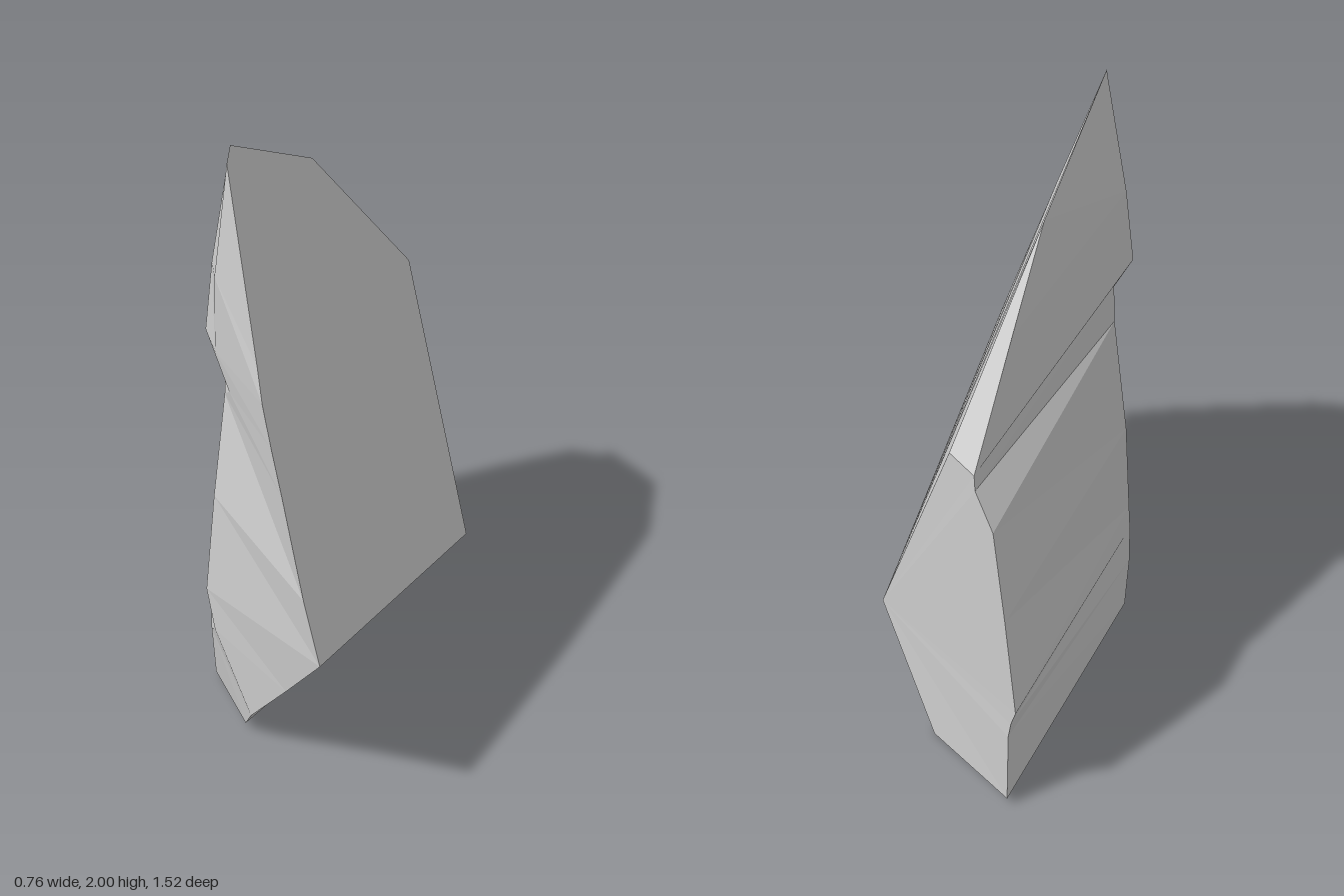
import * as THREE from 'three';

// Each row runs round the chipped side: back edge, left edge, front edge, right front edge
const rows = [
  [[-0.19, 1.75, -0.15], [-0.18, 2, 0.31], [-0.16, 1.97, 0.36], [-0.16, 1.97, 0.36]],
  [[-0.2, 1.5, -0.39], [-0.255, 1.6, 0.31], [-0.2, 1.6, 0.38], [0.057, 1.47, 0.56]],
  [[-0.21, 1.2, -0.665], [-0.285, 1.36, 0.31], [-0.22, 1.33, 0.36], [0.097, 1.38, 0.6]],
  // notch
  [[-0.215, 1.15, -0.67], [-0.245, 1.28, 0.26], [-0.14, 1.24, 0.41], [0.144, 1.26, 0.63]],
  [[-0.29, 1.05, -0.71], [-0.25, 1.15, 0.26], [-0.19, 1.19, 0.36], [0.196, 1.13, 0.66]],
  // body
  [[-0.34, 0.75, -0.738], [-0.29, 0.72, 0.29], [-0.2, 0.85, 0.42], [0.308, 0.85, 0.73]],
  [[-0.385, 0.42, -0.76], [-0.31, 0.4, 0.29], [-0.24, 0.48, 0.42], [0.38, 0.66, 0.76]],
  // chipped foot
  [[-0.365, 0.36, -0.75], [-0.32, 0.32, 0.28], [-0.2, 0.35, 0.44], [0.18, 0.39, 0.63]],
  [[-0.355, 0.3, -0.747], [-0.33, 0.2, 0.26], [-0.26, 0.28, 0.37], [-0.02, 0.13, 0.52]],
  [[-0.35, 0.03, -0.744], [-0.335, 0.04, 0.22], [-0.31, 0.02, 0.28], [-0.08, 0.03, 0.46]],
];

// Corners of the large split faces
const shoulder = [-0.1, 1.2, -0.6];
const knee = [0.24, 0.35, -0.41];
const foot = [-0.01, 0, -0.56];

export function createModel() {
  const group = new THREE.Group();
  group.name = 'rock';
  const positions = [];

  // Flat polygon as a fan from its first corner
  const face = (...pts) => {
    for (let i = 1; i < pts.length - 1; i++) positions.push(...pts[0], ...pts[i], ...pts[i + 1]);
  };
  const column = (c) => rows.map((r) => r[c]);
  const last = rows.length - 1;

  // Chipped left and front
  for (let i = 0; i < last; i++) {
    for (let j = 0; j < 3; j++) {
      face(rows[i][j], rows[i + 1][j], rows[i + 1][j + 1], rows[i][j + 1]);
    }
  }

  const back = column(0);
  const right = column(3);
  // Large right face
  face(knee, shoulder, back[0], rows[0][1], ...right.slice(0, 7));
  // Lower right face
  face(knee, ...right.slice(6), foot);
  // Back face
  face(knee, foot, ...back.slice(2).reverse(), shoulder);
  // Sliver between the crest and the back face
  face(back[0], shoulder, back[2], back[1]);
  // Underside
  face(foot, ...[...rows[last]].reverse());

  const geometry = new THREE.BufferGeometry();
  geometry.setAttribute('position', new THREE.Float32BufferAttribute(positions, 3));
  geometry.computeVertexNormals();
  const stone = new THREE.Mesh(
    geometry,
    new THREE.MeshStandardMaterial({ color: 0xcccccc, flatShading: true })
  );
  stone.name = 'stoneShard';
  group.add(stone);
  return group;
}
